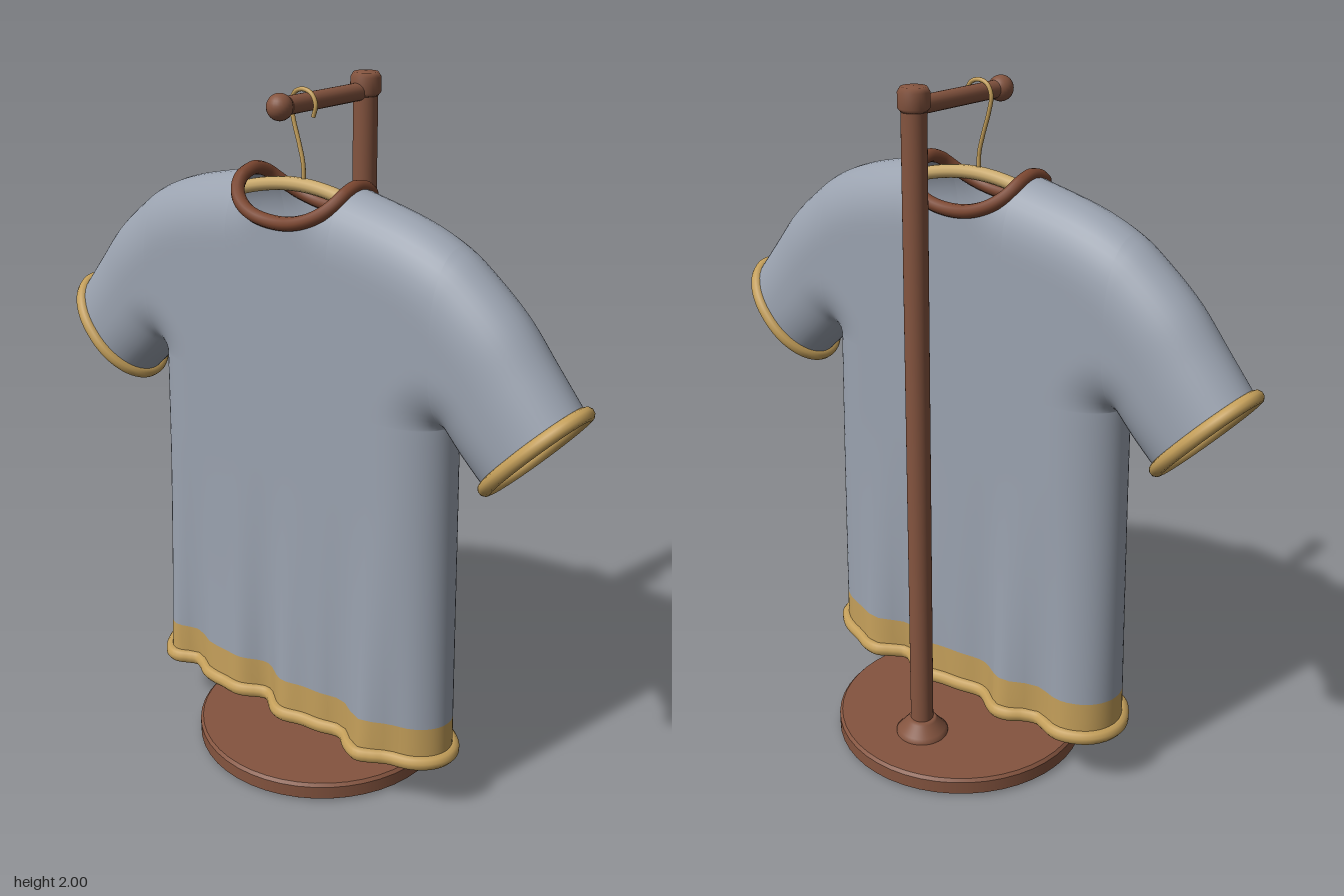
import * as THREE from 'three';
import { mergeVertices } from 'three/addons/utils/BufferGeometryUtils.js';

const V2 = (x, y) => new THREE.Vector2(x, y);
const V3 = (x, y, z) => new THREE.Vector3(x, y, z);
const CZ = 0.073;        // depth centre of the shirt
const DEPTH = 0.12;      // half thickness of the shirt
const ROUND = 0.165;     // how far the rounding reaches in from the outline
const HEM = 0.175, PIT = 1.185, PIT_X = 0.51, HEM_X = 0.533, NECK_X = 0.18, NECK_Y = 1.755;

// Outline curves of one half: neck -> shoulder -> cuff, and armpit -> cuff
const topCurve = new THREE.SplineCurve([
  V2(NECK_X, NECK_Y), V2(0.38, 1.71), V2(PIT_X, 1.66), V2(0.6, 1.6),
  V2(0.7, 1.515), V2(0.785, 1.415), V2(0.873, 1.31),
]);
const underCurve = new THREE.SplineCurve([V2(PIT_X, PIT), V2(0.565, 1.127), V2(0.64, 1.058)]);
const shoulderEnd = 2 / 6;
const outlines = [topCurve.getPoints(300), underCurve.getPoints(60), [V2(HEM_X, HEM), V2(PIT_X, PIT)]];

function outlineDistance(p) {
  let best = Infinity;
  for (const line of outlines) {
    for (let i = 0; i + 1 < line.length; i++) {
      const a = line[i], b = line[i + 1];
      const dx = b.x - a.x, dy = b.y - a.y;
      const t = THREE.MathUtils.clamp(((p.x - a.x) * dx + (p.y - a.y) * dy) / (dx * dx + dy * dy), 0, 1);
      best = Math.min(best, Math.hypot(a.x + dx * t - p.x, a.y + dy * t - p.y));
    }
  }
  return best < 5e-4 ? 0 : best;
}

// Place an outline point on the cloth: rounded at the outline, rippled near the hem
function onCloth(p, sx, sz) {
  const t = Math.min(1, outlineDistance(p) / ROUND);
  const round = Math.sqrt(1 - (1 - t) * (1 - t));
  const x = p.x * sx;
  const fall = Math.pow(THREE.MathUtils.clamp((0.95 - p.y) / 0.775, 0, 1), 1.5);
  const ripple = sz > 0
    ? 0.02 * Math.sin(23 * x + 0.2) + 0.009 * Math.sin(41 * x + 1)
    : 0.02 * Math.cos(23 * x - 1.3) + 0.009 * Math.cos(37 * x + 2);
  return V3(x, p.y, CZ + sz * round * (DEPTH + fall * (0.006 + ripple)));
}

const ease = (i, n) => (1 - Math.cos(Math.PI * i / n)) / 2;
const ROWS = 24;

// Column tops of the torso: across the neckline, then along the shoulder
const neckTops = [], shoulderTops = [];
for (let i = 0; i <= 14; i++) {
  const a = Math.PI / 2 * i / 14;
  neckTops.push(V2(NECK_X * Math.sin(a), NECK_Y - 0.098 * Math.cos(a)));
}
for (let i = 1; i <= 18; i++) {
  shoulderTops.push(topCurve.getPoint(shoulderEnd * Math.sin(Math.PI / 2 * i / 18)));
}

// Grid columns, each listed from bottom to top
function torsoColumns() {
  const ys = [HEM, 0.23, 0.285];
  for (let i = 1; i < 22; i++) ys.push(0.285 + (PIT - 0.285) * i / 22);
  return [...neckTops, ...shoulderTops].map((top) => {
    const f = top.x / PIT_X;
    const col = ys.map((y) => V2(f * THREE.MathUtils.mapLinear(y, HEM, PIT, HEM_X, PIT_X), y));
    const base = V2(f * PIT_X, PIT);
    for (let j = 0; j <= ROWS; j++) col.push(base.clone().lerp(top, ease(j, ROWS)));
    return col;
  });
}
function sleeveColumns() {
  const cols = [];
  for (let i = 0; i <= 20; i++) {
    const top = topCurve.getPoint(shoulderEnd + (1 - shoulderEnd) * i / 20);
    const under = underCurve.getPoint(i / 20);
    cols.push(Array.from({ length: ROWS + 1 }, (_, j) => under.clone().lerp(top, ease(j, ROWS))));
  }
  return cols;
}

function shirtGeometry(torso, sleeve) {
  const pos = [], band = [], cloth = [];
  for (const sx of [1, -1]) for (const sz of [1, -1]) {
    for (const cols of [torso, sleeve]) {
      const start = pos.length / 3, n = cols[0].length;
      for (const col of cols) for (const p of col) pos.push(...onCloth(p, sx, sz).toArray());
      for (let i = 0; i + 1 < cols.length; i++) for (let j = 0; j + 1 < n; j++) {
        const a = start + i * n + j, b = a + n, c = b + 1, d = a + 1;
        const target = cols === torso && j < 2 ? band : cloth;
        target.push(...(sx * sz > 0 ? [a, b, c, a, c, d] : [a, c, b, a, d, c]));
      }
    }
  }
  let g = new THREE.BufferGeometry();
  g.setAttribute('position', new THREE.Float32BufferAttribute(pos, 3));
  g.setIndex([...band, ...cloth]);
  g = mergeVertices(g);
  g.addGroup(0, band.length, 0);
  g.addGroup(band.length, cloth.length, 1);
  g.computeVertexNormals();
  return g;
}

export function createModel() {
  const model = new THREE.Group();
  const material = (name, color, side = THREE.FrontSide) => {
    const m = new THREE.MeshStandardMaterial({ color, side });
    m.name = name;
    return m;
  };
  const cloth = material('grey cloth', 0x9aa2af, THREE.DoubleSide);
  const gold = material('gold trim', 0xc49f5a, THREE.DoubleSide);
  const wood = material('brown wood', 0x84543f);
  const collarBrown = material('collar brown', 0x7a4630);
  const paleWood = material('hanger wood', 0xc9a96c);

  const add = (name, geometry, mat, x = 0, y = 0, z = 0) => {
    const mesh = new THREE.Mesh(geometry, mat);
    mesh.name = name;
    mesh.position.set(x, y, z);
    model.add(mesh);
    return mesh;
  };
  const tube = (name, points, radius, mat, closed, segments = 160) => add(name,
    new THREE.TubeGeometry(new THREE.CatmullRomCurve3(points, closed), segments, radius, 10, closed), mat);
  const lathe = (points) => new THREE.LatheGeometry(points.map(([r, y]) => V2(r, y)), 48);

  // Shirt
  const torso = torsoColumns(), sleeve = sleeveColumns();
  add('shirt', shirtGeometry(torso, sleeve), [gold, cloth]);

  // Closed loop around a symmetric edge that runs from x = 0 to the side seam
  const ringAround = (edge) => {
    const inner = edge.slice(1, -1), last = edge[edge.length - 1];
    const half = (sx, sz) => inner.map((p) => onCloth(p, sx, sz));
    return [
      onCloth(edge[0], 1, 1), ...half(1, 1), onCloth(last, 1, 1), ...half(1, -1).reverse(),
      onCloth(edge[0], 1, -1), ...half(-1, -1), onCloth(last, -1, 1), ...half(-1, 1).reverse(),
    ];
  };
  tube('collar', ringAround(neckTops), 0.019, collarBrown, true);
  tube('hemTrim', ringAround(torso.map((col) => col[0])), 0.021, gold, true, 260);

  // Sleeve cuffs
  const cuff = sleeve[sleeve.length - 1];
  for (const sx of [1, -1]) {
    const front = cuff.map((p) => onCloth(p, sx, 1));
    const back = cuff.slice(1, -1).map((p) => onCloth(p, sx, -1)).reverse();
    tube(sx > 0 ? 'leftCuff' : 'rightCuff', [...front, ...back], 0.019, gold, true, 100);
  }

  // Hanger bar and hook
  tube('hangerBar', [[-0.45, 1.58], [-0.3, 1.665], [-0.15, 1.715], [0, 1.733], [0.15, 1.715], [0.3, 1.665], [0.45, 1.58]]
    .map(([x, y]) => V3(x, y, CZ)), 0.019, paleWood, false, 60);
  tube('hangerHook', [[0.034, 1.915], [0.042, 1.947], [0.028, 1.973], [0, 1.982], [-0.028, 1.973], [-0.042, 1.945],
    [-0.034, 1.9], [-0.015, 1.84], [-0.002, 1.79], [0, 1.735]]
    .map(([x, y]) => V3(x, y, CZ)), 0.006, gold, false, 60);

  // Stand
  const postZ = -0.18;
  add('base', lathe([[0, 0], [0.37, 0], [0.38, 0.008], [0.38, 0.008], [0.38, 0.047], [0.38, 0.047],
    [0.372, 0.056], [0.372, 0.056], [0, 0.056]]), wood);
  add('postFoot', lathe([[0.078, 0.05], [0.078, 0.062], [0.07, 0.07], [0.045, 0.1], [0.04, 0.108], [0, 0.108]]), wood, 0, 0, postZ);
  add('post', new THREE.CylinderGeometry(0.034, 0.034, 1.9, 32), wood, 0, 1.0, postZ);
  add('postCap', lathe([[0, 1.935], [0.034, 1.935], [0.042, 1.945], [0.042, 1.985], [0.034, 1.998], [0, 2]]), wood, 0, 0, postZ);
  add('arm', new THREE.CylinderGeometry(0.024, 0.024, 0.33, 24), wood, 0, 1.948, -0.03).rotation.x = Math.PI / 2;
  add('armKnob', new THREE.SphereGeometry(0.035, 24, 16), wood, 0, 1.948, 0.163);
  return model;
}
